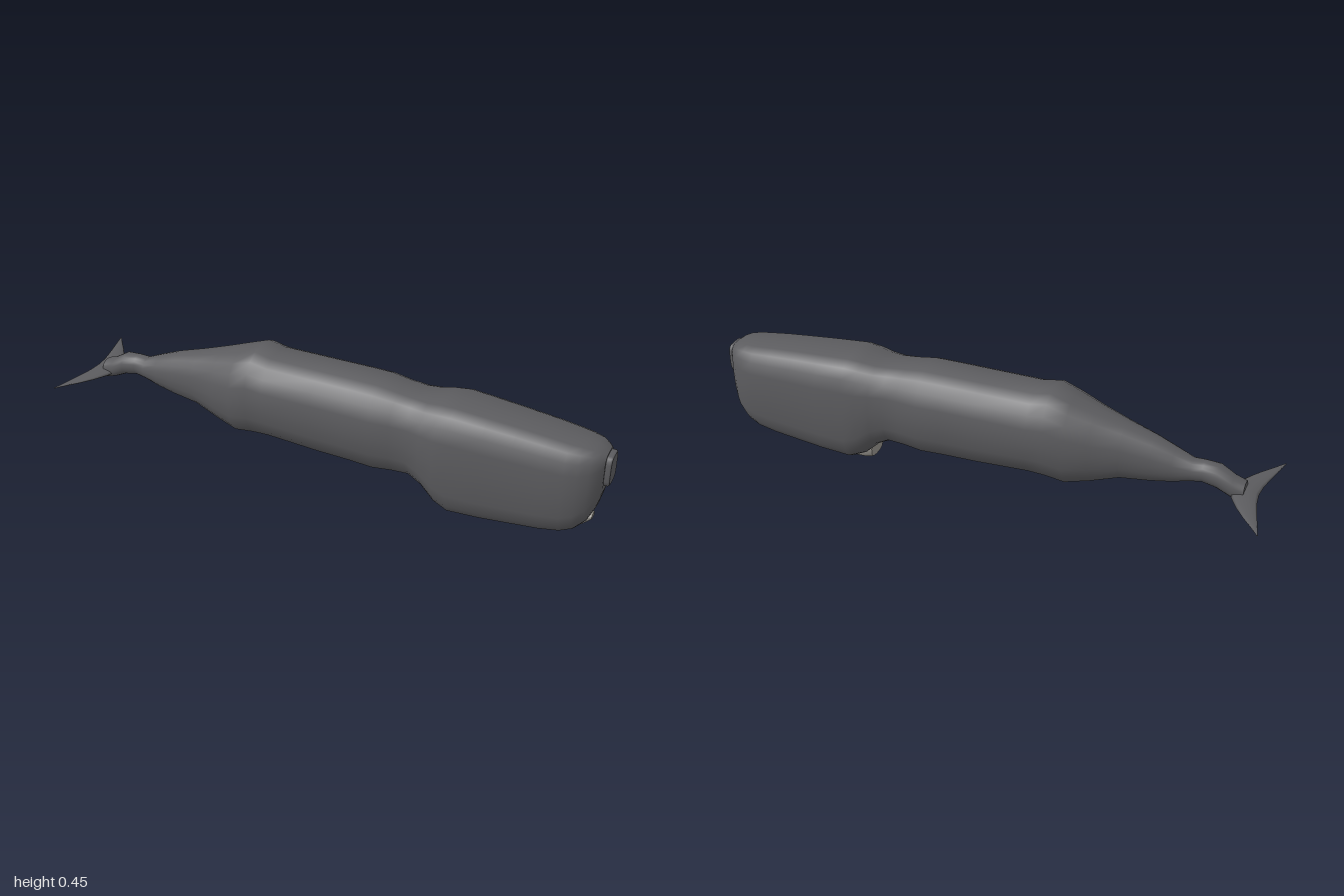
import * as THREE from 'three';

// Skin a list of closed rings (arrays of Vector3) with smooth sides and flat end caps
function loft(rings) {
  const n = rings[0].length, pos = [], idx = [];
  rings.forEach(r => r.forEach(p => pos.push(p.x, p.y, p.z)));
  for (let i = 0; i < rings.length - 1; i++) {
    for (let j = 0; j < n; j++) {
      const a = i * n + j, b = i * n + (j + 1) % n;
      idx.push(a, b, a + n, b, b + n, a + n);
    }
  }
  const cap = (ring, flip) => {
    const base = pos.length / 3;
    const c = ring.reduce((s, p) => s.add(p), new THREE.Vector3()).divideScalar(n);
    [...ring, c].forEach(p => pos.push(p.x, p.y, p.z));
    for (let j = 0; j < n; j++) {
      const a = base + j, b = base + (j + 1) % n;
      idx.push(base + n, ...(flip ? [b, a] : [a, b]));
    }
  };
  cap(rings[0], true);
  cap(rings[rings.length - 1], false);
  const g = new THREE.BufferGeometry();
  g.setAttribute('position', new THREE.Float32BufferAttribute(pos, 3));
  g.setIndex(idx);
  g.computeVertexNormals();
  return g;
}

// Rounded-square ring across the x axis
function ring(x, bottom, top, halfWidth, power, sides = 20) {
  const s = v => Math.sign(v) * Math.pow(Math.abs(v), 2 / power);
  return Array.from({ length: sides }, (_, j) => {
    const a = (j / sides) * Math.PI * 2;
    return new THREE.Vector3(x, (top + bottom) / 2 + s(Math.cos(a)) * (top - bottom) / 2,
      s(Math.sin(a)) * halfWidth);
  });
}

export function createModel() {
  const model = new THREE.Group();
  model.name = 'whale';
  const skin = new THREE.MeshStandardMaterial({ color: 0x5b5b5e });
  skin.name = 'dark grey skin';
  const pale = new THREE.MeshStandardMaterial({ color: 0x8f8c86 });
  pale.name = 'pale jaw';
  const add = (name, geometry, material) => {
    const m = new THREE.Mesh(geometry, material);
    m.name = name;
    model.add(m);
  };

  // Tail stock and trunk: x, bottom, top, half width, squareness
  const trunk = [
    [-0.91, 0.165, 0.235, 0.034, 2.4], [-0.87, 0.175, 0.25, 0.037, 2.2],
    [-0.82, 0.198, 0.28, 0.041, 2], [-0.77, 0.207, 0.284, 0.036, 2],
    [-0.73, 0.2, 0.282, 0.039, 2], [-0.67, 0.182, 0.308, 0.051, 2],
    [-0.6, 0.17, 0.335, 0.064, 2.1], [-0.5, 0.16, 0.365, 0.082, 2.2],
    [-0.4, 0.125, 0.398, 0.11, 2.2], [-0.32, 0.107, 0.425, 0.134, 2.3],
    [-0.25, 0.117, 0.45, 0.14, 2.3], [-0.19, 0.12, 0.437, 0.138, 2.3],
    [0, 0.11, 0.436, 0.137, 2.4], [0.12, 0.107, 0.436, 0.138, 2.4],
    [0.21, 0.102, 0.435, 0.139, 2.4], [0.28, 0.11, 0.424, 0.128, 2.5],
    [0.34, 0.115, 0.417, 0.126, 2.6],
  ];
  // Large square head
  const head = [
    [0.39, 0.092, 0.417, 0.134, 2.8], [0.44, 0.045, 0.426, 0.143, 3],
    [0.49, 0.022, 0.43, 0.145, 3.2], [0.6, 0.026, 0.421, 0.14, 3.2],
    [0.7, 0.034, 0.412, 0.133, 3.2], [0.8, 0.043, 0.402, 0.127, 3.2],
    [0.87, 0.055, 0.393, 0.121, 3.2], [0.91, 0.072, 0.389, 0.111, 3.2],
    [0.945, 0.11, 0.382, 0.095, 3.3], [0.967, 0.16, 0.373, 0.073, 3.4],
    [0.982, 0.225, 0.363, 0.05, 3.6],
  ];
  add('body', loft([...trunk, ...head].map(r => ring(...r))), skin);

  // Blunt snout tip
  add('snout', loft([[0.96, 0.247, 0.358, 0.042, 4], [0.995, 0.247, 0.358, 0.043, 4],
    [1, 0.252, 0.353, 0.039, 4]].map(r => ring(...r))), skin);

  // Narrow lower jaw
  add('lowerJaw', loft([
    [0.43, 0.012, 0.07, 0.045, 3], [0.46, 0.005, 0.07, 0.05, 2.8],
    [0.5, 0.003, 0.06, 0.05, 2.6], [0.58, 0.011, 0.06, 0.046, 2.5],
    [0.7, 0.023, 0.07, 0.038, 2.5], [0.8, 0.033, 0.08, 0.033, 2.5],
    [0.88, 0.048, 0.095, 0.029, 2.5], [0.925, 0.07, 0.108, 0.025, 2.5],
    [0.955, 0.098, 0.116, 0.019, 2.5],
  ].map(r => ring(...r, 14))), pale);

  // Crescent flukes: |z|, trailing x, leading x, half thickness
  const half = [
    [0.217, -1, -0.996, 0.001], [0.18, -0.991, -0.967, 0.003], [0.14, -0.981, -0.934, 0.005],
    [0.1, -0.971, -0.905, 0.007], [0.05, -0.96, -0.876, 0.01], [0, -0.955, -0.86, 0.013],
  ];
  const stations = [...half.map(([z, ...r]) => [-z, ...r]), ...half.slice(0, -1).reverse()];
  add('flukes', loft(stations.map(([z, back, front, t]) =>
    Array.from({ length: 10 }, (_, j) => {
      const a = (j / 10) * Math.PI * 2;
      return new THREE.Vector3((back + front) / 2 + Math.cos(a) * (front - back) / 2,
        0.197 + Math.sin(a) * t, z);
    }))), skin);

  return model;
}
